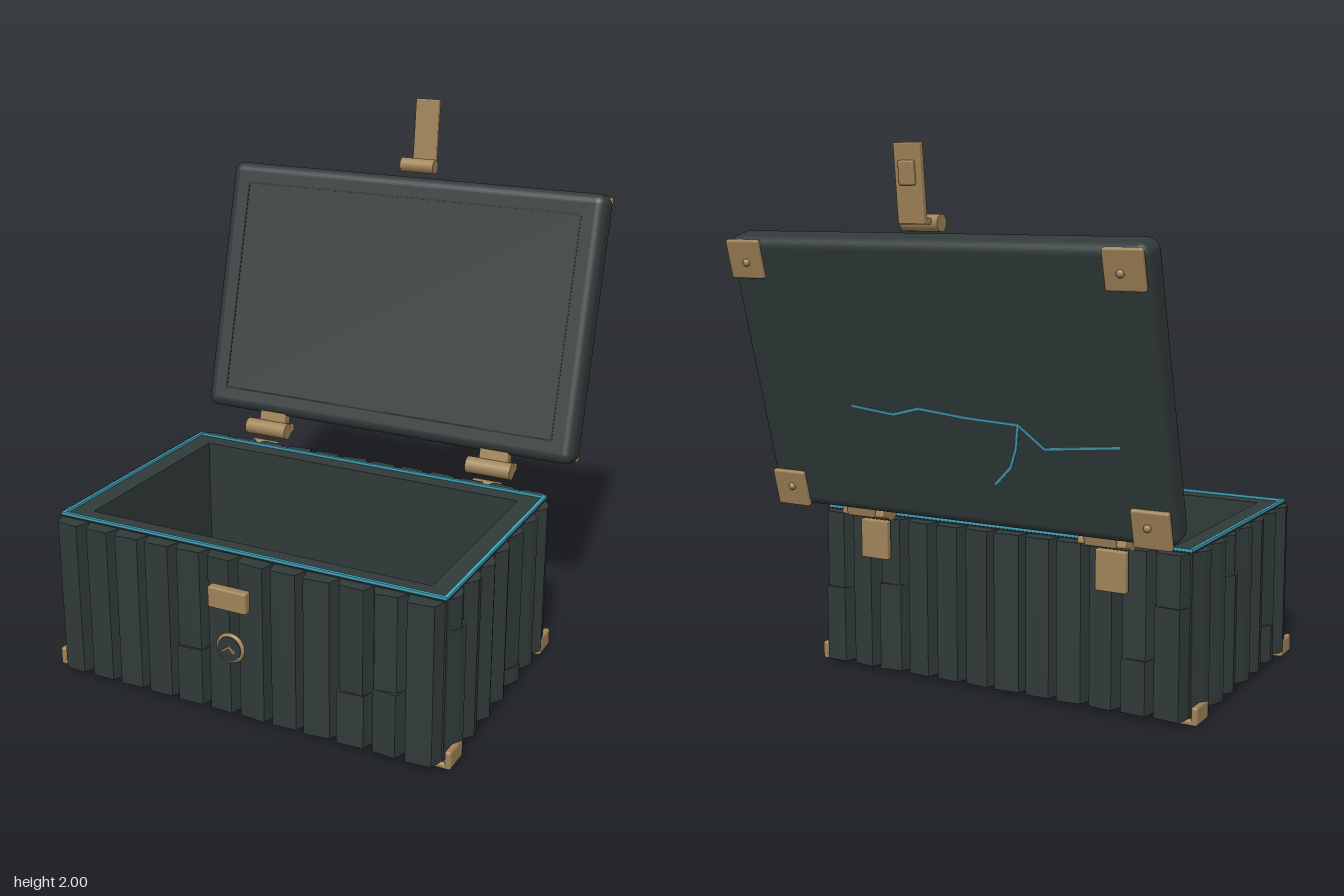
import * as THREE from 'three';
import { RoundedBoxGeometry } from 'three/addons/geometries/RoundedBoxGeometry.js';

const material = (name, color) => {
  const m = new THREE.MeshStandardMaterial({ color });
  m.name = name;
  return m;
};

export function createModel() {
  const slate = material('slate wood', 0x303a39);
  const dark = material('dark groove', 0x1b2222);
  const brass = material('aged brass', 0xa08358);
  const teal = material('teal glow', 0x3fa3bd);

  const model = new THREE.Group();
  model.name = 'chest';

  let seed = 7;
  const rand = () => (seed = (seed * 16807) % 2147483647) / 2147483647;

  const add = (parent, name, geometry, mat, x = 0, y = 0, z = 0) => {
    const mesh = new THREE.Mesh(geometry, mat);
    mesh.name = name;
    mesh.position.set(x, y, z);
    parent.add(mesh);
    return mesh;
  };
  const box = (parent, name, mat, w, h, d, x, y, z) =>
    add(parent, name, new THREE.BoxGeometry(w, h, d), mat, x, y, z);
  const rounded = (parent, name, mat, w, h, d, r, x, y, z) =>
    add(parent, name, new RoundedBoxGeometry(w, h, d, 3, r), mat, x, y, z);
  const group = (parent, name, x = 0, y = 0, z = 0) => {
    const g = new THREE.Group();
    g.name = name;
    g.position.set(x, y, z);
    parent.add(g);
    return g;
  };
  // rod lying along x
  const rod = (parent, name, r, length, x, y, z) =>
    add(parent, name, new THREE.CylinderGeometry(r, r, length, 20).rotateZ(Math.PI / 2), brass, x, y, z);

  // Hollow body
  const midZ = 0.2425;
  const body = group(model, 'body', 0, 0, midZ);
  const rect = (Type, hw, hd) => new Type([
    new THREE.Vector2(-hw, -hd), new THREE.Vector2(hw, -hd),
    new THREE.Vector2(hw, hd), new THREE.Vector2(-hw, hd)]);
  const frame = (hw, hd, innerW, innerD, height) => {
    const shape = rect(THREE.Shape, hw, hd);
    shape.holes.push(rect(THREE.Path, innerW, innerD));
    return new THREE.ExtrudeGeometry(shape, { depth: height, bevelEnabled: false }).rotateX(-Math.PI / 2);
  };
  add(body, 'bodyWalls', frame(0.77, 0.485, 0.68, 0.402, 0.597), slate, 0, 0.02, 0);
  box(body, 'bodyFloor', slate, 1.5, 0.08, 0.94, 0, 0.061, 0);
  add(body, 'glowingRim', frame(0.768, 0.481, 0.756, 0.469, 0.01), teal, 0, 0.617, 0);

  // Bevelled planks along the walls; some are cut into two uneven lengths
  const plank = (parent, x, base, tip, depth, y0, y1) => {
    const skew = (rand() - 0.5) * 0.012;
    const shape = new THREE.Shape([
      new THREE.Vector2(-base / 2, 0.02), new THREE.Vector2(-base / 2, 0),
      new THREE.Vector2(-tip / 2, -depth - skew), new THREE.Vector2(tip / 2, -depth + skew),
      new THREE.Vector2(base / 2, 0), new THREE.Vector2(base / 2, 0.02)]);
    const geometry = new THREE.ExtrudeGeometry(shape, { depth: y1 - y0, bevelEnabled: false });
    add(parent, 'plank', geometry.rotateX(-Math.PI / 2), slate, x, y0, 0);
  };
  const wall = (name, length, count, tip, depth, x, z, angle) => {
    const g = group(body, name, x, 0, z);
    g.rotation.y = angle;
    const pitch = length / count;
    for (let i = 0; i < count; i++) {
      const px = (i + 0.5) * pitch - length / 2;
      const width = tip * (0.9 + rand() * 0.2);
      if (rand() < 0.4) {
        const cut = 0.08 + rand() * 0.42;
        plank(g, px, pitch, width, depth, 0.02, cut);
        plank(g, px, pitch, width * 0.92, depth - 0.007, cut, 0.613);
      } else {
        plank(g, px, pitch, width, depth, 0.02, 0.613);
      }
    }
  };
  wall('frontPlanks', 1.53, 12, 0.092, 0.056, 0, 0.482, 0);
  wall('backPlanks', 1.53, 12, 0.092, 0.056, 0, -0.482, Math.PI);
  wall('leftPlanks', 0.95, 7, 0.03, 0.034, 0.766, 0, Math.PI / 2);
  wall('rightPlanks', 0.95, 7, 0.03, 0.034, -0.766, 0, -Math.PI / 2);

  // Brass feet wrapping the lower corners
  for (const s of [-1, 1]) for (const z of [0.685, -0.2]) {
    const foot = group(model, 'cornerFoot', s * 0.74, 0, z);
    rounded(foot, 'footSide', brass, 0.024, 0.07, 0.11, 0.01, s * 0.05, 0.035, 0);
    rounded(foot, 'footBase', brass, 0.12, 0.022, 0.11, 0.009, 0, 0.011, 0);
  }

  // Front lock plate and round medallion
  rounded(model, 'lockPlate', brass, 0.152, 0.08, 0.036, 0.008, 0, 0.49, 0.817);
  const medallion = group(model, 'medallion', 0, 0.3, 0.812);
  add(medallion, 'medallionDisc', new THREE.CylinderGeometry(0.046, 0.046, 0.024, 32).rotateX(Math.PI / 2), slate);
  add(medallion, 'medallionRing', new THREE.TorusGeometry(0.047, 0.009, 10, 32), brass);
  for (const s of [-1, 1]) {
    const arm = box(medallion, 'medallionChevron', brass, 0.034, 0.007, 0.012, s * 0.012, 0, 0.014);
    arm.rotation.z = -s * 0.65;
  }

  // Open lid, leaning back
  const lid = group(model, 'lid', 0, 1.195, -0.5575);
  lid.rotation.x = -Math.PI / 12;
  add(lid, 'lidSlab', new RoundedBoxGeometry(1.63, 1.04, 0.128, 5, 0.04), slate);
  for (const s of [-1, 1]) {
    box(lid, 'lidGrooveSide', dark, 0.006, 0.87, 0.003, s * 0.725, 0, 0.0645);
    box(lid, 'lidGrooveEnd', dark, 1.456, 0.006, 0.003, 0, s * 0.435, 0.0645);
    for (const t of [-1, 1]) {
      rounded(lid, 'lidCornerPlate', brass, 0.14, 0.14, 0.024, 0.008, s * 0.735, t * 0.445, -0.068);
      add(lid, 'cornerRivet', new THREE.SphereGeometry(0.014, 12, 8), brass, s * 0.725, t * 0.435, -0.08);
    }
  }

  // Glowing crack across the lid's outer face
  const crack = (points) => {
    for (let i = 1; i < points.length; i++) {
      const [ax, ay] = points[i - 1], [bx, by] = points[i];
      const piece = box(lid, 'crack', teal, Math.hypot(bx - ax, by - ay) + 0.004, 0.008, 0.006,
        (ax + bx) / 2, (ay + by) / 2, -0.064);
      piece.rotation.z = Math.atan2(by - ay, bx - ax);
    }
  };
  crack([[0.39, -0.09], [0.22, -0.11], [0.11, -0.08], [-0.08, -0.1], [-0.28, -0.11], [-0.37, -0.19], [-0.65, -0.16]]);
  crack([[-0.28, -0.11], [-0.26, -0.2], [-0.23, -0.27], [-0.16, -0.34]]);

  // Rear hinges
  for (const s of [-1, 1]) {
    const hinge = group(model, 'hinge', s * 0.497, 0, 0);
    rod(hinge, 'hingeBarrel', 0.033, 0.185, 0, 0.655, -0.337);
    const leaf = rounded(hinge, 'hingeLidLeaf', brass, 0.12, 0.075, 0.05, 0.006, 0, 0.682, -0.394);
    leaf.rotation.x = -Math.PI / 12;
    const link = rounded(hinge, 'hingeLink', brass, 0.185, 0.03, 0.06, 0.008, 0, 0.65, -0.37);
    link.rotation.x = Math.PI / 12;
    rounded(hinge, 'hingeBodyLeaf', brass, 0.12, 0.15, 0.028, 0.006, 0, 0.535, -0.311);
  }

  // Hasp standing above the lid
  const hasp = group(model, 'hasp');
  rod(hasp, 'haspBarrel', 0.029, 0.145, 0, 1.741, -0.726);
  rounded(hasp, 'haspArm', brass, 0.1, 0.02, 0.07, 0.005, 0, 1.746, -0.757);
  const strap = group(hasp, 'haspStrap', 0, 1.868, -0.799);
  strap.rotation.x = -0.1;
  rounded(strap, 'strapPlate', brass, 0.102, 0.262, 0.024, 0.005, 0, 0, 0);
  rounded(strap, 'strapCatch', brass, 0.06, 0.08, 0.02, 0.007, 0, 0.035, -0.016);

  return model;
}
